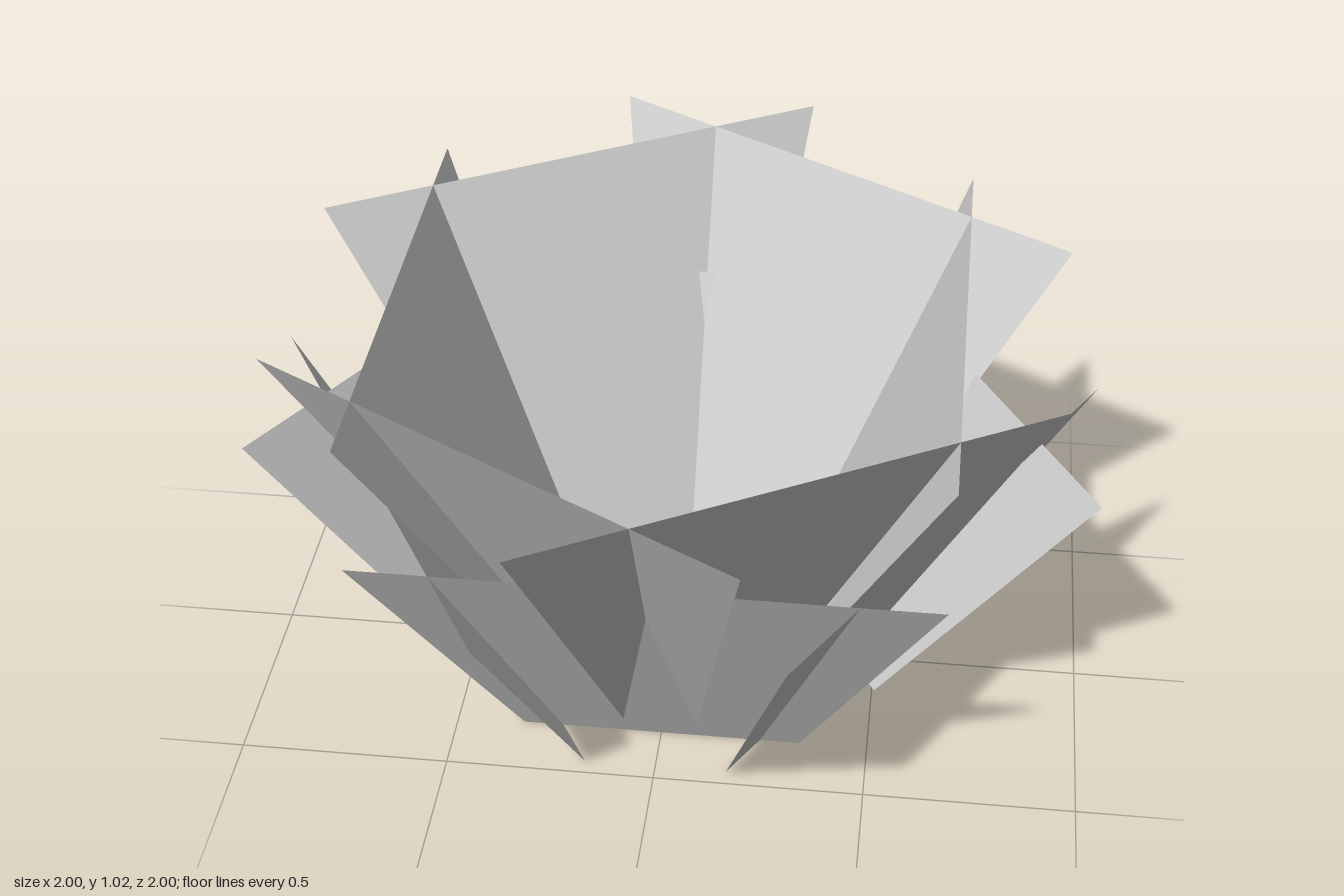
import * as THREE from 'three';

const material = new THREE.MeshStandardMaterial({
  color: 0xcccccc, flatShading: true, side: THREE.DoubleSide,
});

// Rim edges [x, z] of three neighbouring petals; the other three are these turned by 180 degrees.
// Each edge runs past its neighbours, so the petals cross and leave pointed tips.
const rimEdges = [
  [[0.665, 0.665], [0.665, -0.665]],
  [[0.908, -0.335], [-0.242, -0.998]],
  [[-0.242, 0.998], [0.908, 0.335]],
];

// Flat trapezoid petal: the foot is the rim edge drawn in towards the axis
function petalGeometry([a, b], footScale, footY, rimY) {
  const foot = ([x, z]) => [x * footScale, footY, z * footScale];
  const rim = ([x, z]) => [x, rimY, z];
  const geometry = new THREE.BufferGeometry();
  geometry.setAttribute('position', new THREE.Float32BufferAttribute(
    [foot(a), foot(b), rim(b), rim(a)].flat(), 3));
  geometry.setIndex([0, 1, 2, 0, 2, 3]);
  geometry.computeVertexNormals();
  return geometry;
}

function petalRing(name, footScale, footY, rimY) {
  const ring = new THREE.Group();
  ring.name = name;
  for (const edge of rimEdges) {
    const geometry = petalGeometry(edge, footScale, footY, rimY);
    for (const turn of [0, Math.PI]) {
      const petal = new THREE.Mesh(geometry, material);
      petal.name = 'petal';
      petal.rotation.y = turn;
      ring.add(petal);
    }
  }
  return ring;
}

export function createModel() {
  const model = new THREE.Group();
  model.name = 'petalBowl';

  // Tall, steep inner ring
  model.add(petalRing('innerPetals', 0.333, 0.01, 1.02));

  // Shorter outer ring, turned a quarter
  const outer = petalRing('outerPetals', 0.507, 0, 0.7);
  outer.rotation.y = Math.PI / 2;
  model.add(outer);

  return model;
}
